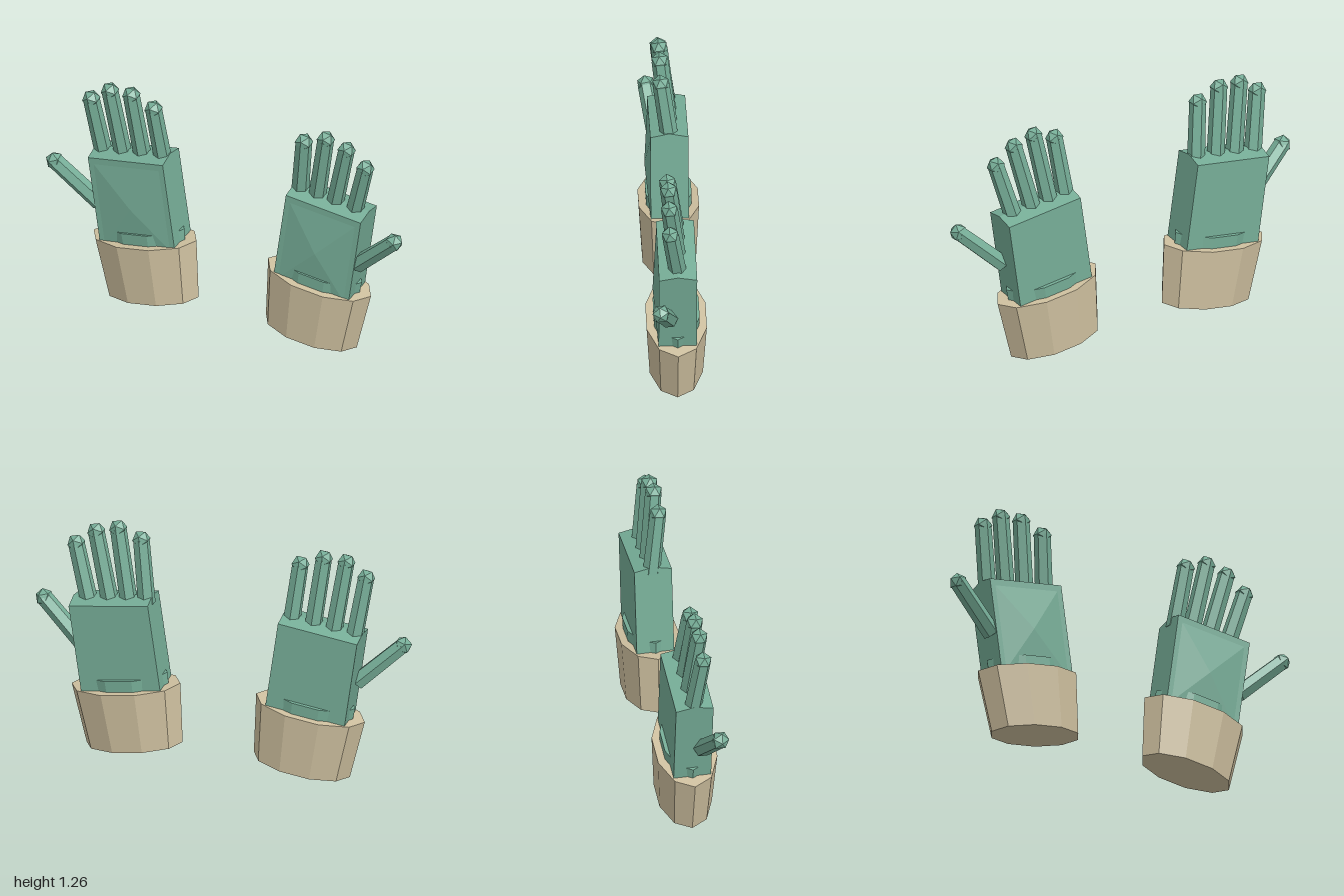
import * as THREE from 'three';

const green = new THREE.MeshStandardMaterial({ color: 0x76ad97, flatShading: true });
green.name = 'glove green';
const tan = new THREE.MeshStandardMaterial({ color: 0xcfc1a0, flatShading: true });
tan.name = 'cuff tan';

function addMesh(parent, name, geometry, material) {
  const mesh = new THREE.Mesh(geometry, material);
  mesh.name = name;
  parent.add(mesh);
  return mesh;
}

// Ten-sided oval tube between two heights
function oval(rBottom, rTop, y0, y1, depthRatio) {
  return new THREE.CylinderGeometry(rTop, rBottom, y1 - y0, 10)
    .rotateY(Math.PI / 2)
    .scale(1, 1, depthRatio)
    .translate(0, (y0 + y1) / 2, 0);
}

// Box whose top face is slightly ridged along its middle
function palmGeometry(width, y0, y1, depth, ridge) {
  const geo = new THREE.BoxGeometry(width, y1 - y0, depth, 1, 1, 2);
  const p = geo.attributes.position;
  for (let i = 0; i < p.count; i++) {
    if (p.getY(i) > 0 && Math.abs(p.getZ(i)) < 0.001) p.setY(i, p.getY(i) + ridge);
  }
  return geo.translate(0, (y0 + y1) / 2, 0);
}

// Six-sided finger with a faceted ball at its tip
function addFinger(parent, name, base, tip) {
  const a = new THREE.Vector3(...base);
  const b = new THREE.Vector3(...tip);
  const dir = b.clone().sub(a);
  const finger = new THREE.Group();
  finger.name = name;
  finger.position.copy(a);
  finger.quaternion.setFromUnitVectors(new THREE.Vector3(0, 1, 0), dir.clone().normalize());
  const length = dir.length();
  addMesh(finger, name + 'Shaft',
    new THREE.CylinderGeometry(0.043, 0.046, length, 6).translate(0, length / 2, 0), green);
  addMesh(finger, name + 'Tip', new THREE.IcosahedronGeometry(0.048, 0), green)
    .position.y = length;
  parent.add(finger);
}

// Base x, base y, tip x, tip y for each finger, from the inner side outwards
const fingers = {
  left: [[0.38, 0.84, 0.422, 1.175], [0.475, 0.83, 0.545, 1.22],
    [0.575, 0.82, 0.662, 1.187], [0.685, 0.8, 0.768, 1.105]],
  right: [[0.39, 0.84, 0.425, 1.155], [0.505, 0.83, 0.55, 1.205],
    [0.615, 0.82, 0.67, 1.2], [0.725, 0.8, 0.775, 1.127]],
};

function makeGlove(side, s) {
  const glove = new THREE.Group();
  glove.name = side + 'Glove';

  // Tilted cuff, wrist and palm
  const hand = new THREE.Group();
  hand.name = side + 'Hand';
  hand.position.set(s * 0.445, 0.042, 0);
  hand.rotation.z = -s * THREE.MathUtils.degToRad(8);
  glove.add(hand);
  addMesh(hand, 'cuff', oval(0.258, 0.292, 0, 0.33, 0.553), tan);
  addMesh(hand, 'wrist', oval(0.22, 0.232, 0.2, 0.392, 0.53), green);
  addMesh(hand, 'palm', palmGeometry(0.425, 0.25, 0.806, 0.194, 0.02), green);

  // Low four-sided swell on the palm
  const pad = new THREE.ConeGeometry(Math.SQRT1_2, 1, 4)
    .rotateY(Math.PI / 4)
    .rotateX(Math.PI / 2)
    .scale(0.4, 0.5, 0.026);
  addMesh(hand, 'palmPad', pad, green).position.set(0, 0.54, 0.108);

  fingers[side].forEach(([bx, by, tx, ty], i) =>
    addFinger(glove, 'finger' + (i + 1), [s * bx, by, -0.002], [s * tx, ty, 0.04]));
  addFinger(glove, 'thumb', [s * 0.725, 0.53, 0.045], [s * 0.955, 0.745, 0.095]);
  return glove;
}

export function createModel() {
  const model = new THREE.Group();
  model.name = 'gloves';
  model.add(makeGlove('left', 1), makeGlove('right', -1));
  return model;
}
